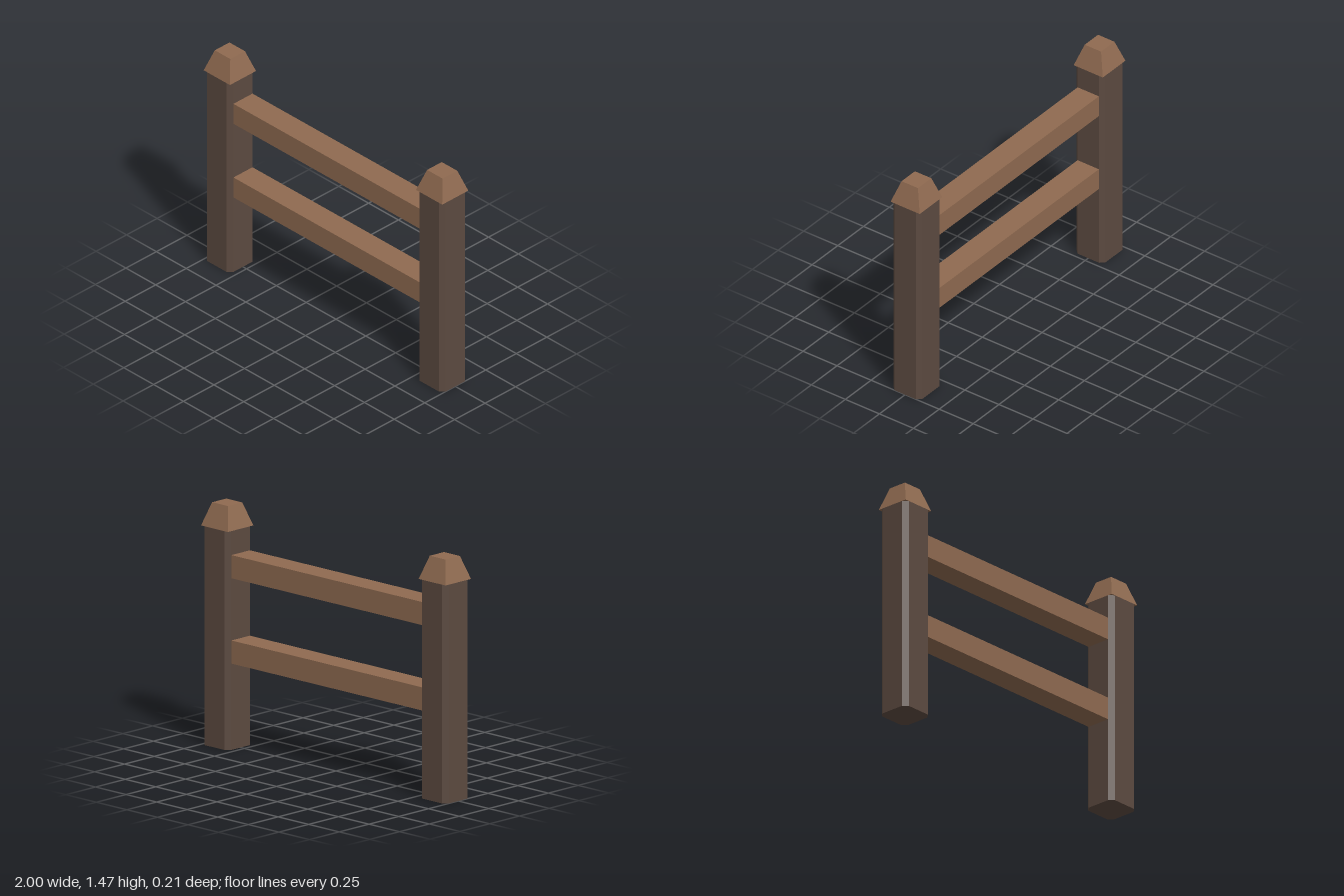
import * as THREE from 'three';

const POST_X = 0.89, HALF_X = 0.11, HALF_Z = 0.107, CHAMFER = 0.028;
const POST_H = 1.325, CAP_H = 0.14;

// Octagonal post: a rectangle with chamfered corners, extruded upwards
function postGeometry() {
  const a = HALF_X, b = HALF_Z, c = CHAMFER;
  const outline = [
    [a, b - c], [a - c, b], [c - a, b], [-a, b - c],
    [-a, c - b], [c - a, -b], [a - c, -b], [a, c - b],
  ].map(([x, y]) => new THREE.Vector2(x, y));
  const geometry = new THREE.ExtrudeGeometry(new THREE.Shape(outline), {
    depth: POST_H, bevelEnabled: false,
  });
  return geometry.rotateX(-Math.PI / 2);
}

// Square cap tapering to a small flat top
function capGeometry() {
  const geometry = new THREE.BoxGeometry(2 * HALF_X, CAP_H, 2 * HALF_Z);
  const p = geometry.attributes.position;
  for (let i = 0; i < p.count; i++) {
    if (p.getY(i) > 0) {
      p.setX(i, Math.sign(p.getX(i)) * 0.065);
      p.setZ(i, Math.sign(p.getZ(i)) * 0.06);
    }
  }
  geometry.computeVertexNormals();
  return geometry;
}

export function createModel() {
  const model = new THREE.Group();
  model.name = 'fence';

  const darkWood = new THREE.MeshStandardMaterial({ color: 0x5c4a40, flatShading: true });
  darkWood.name = 'dark wood';
  const lightWood = new THREE.MeshStandardMaterial({ color: 0x8f6a50, flatShading: true });
  lightWood.name = 'light wood';

  const add = (name, geometry, material, x, y) => {
    const mesh = new THREE.Mesh(geometry, material);
    mesh.name = name;
    mesh.position.set(x, y, 0);
    model.add(mesh);
  };

  // Posts with their caps
  const post = postGeometry(), cap = capGeometry();
  for (const [side, sign] of [['left', 1], ['right', -1]]) {
    add(`${side}Post`, post, darkWood, sign * POST_X, 0);
    add(`${side}Cap`, cap, lightWood, sign * POST_X, POST_H + CAP_H / 2);
  }

  // Two rails, let slightly into the posts
  const rail = new THREE.BoxGeometry(1.6, 0.14, 0.156);
  add('upperRail', rail, lightWood, 0, 1.11);
  add('lowerRail', rail, lightWood, 0, 0.593);

  return model;
}
